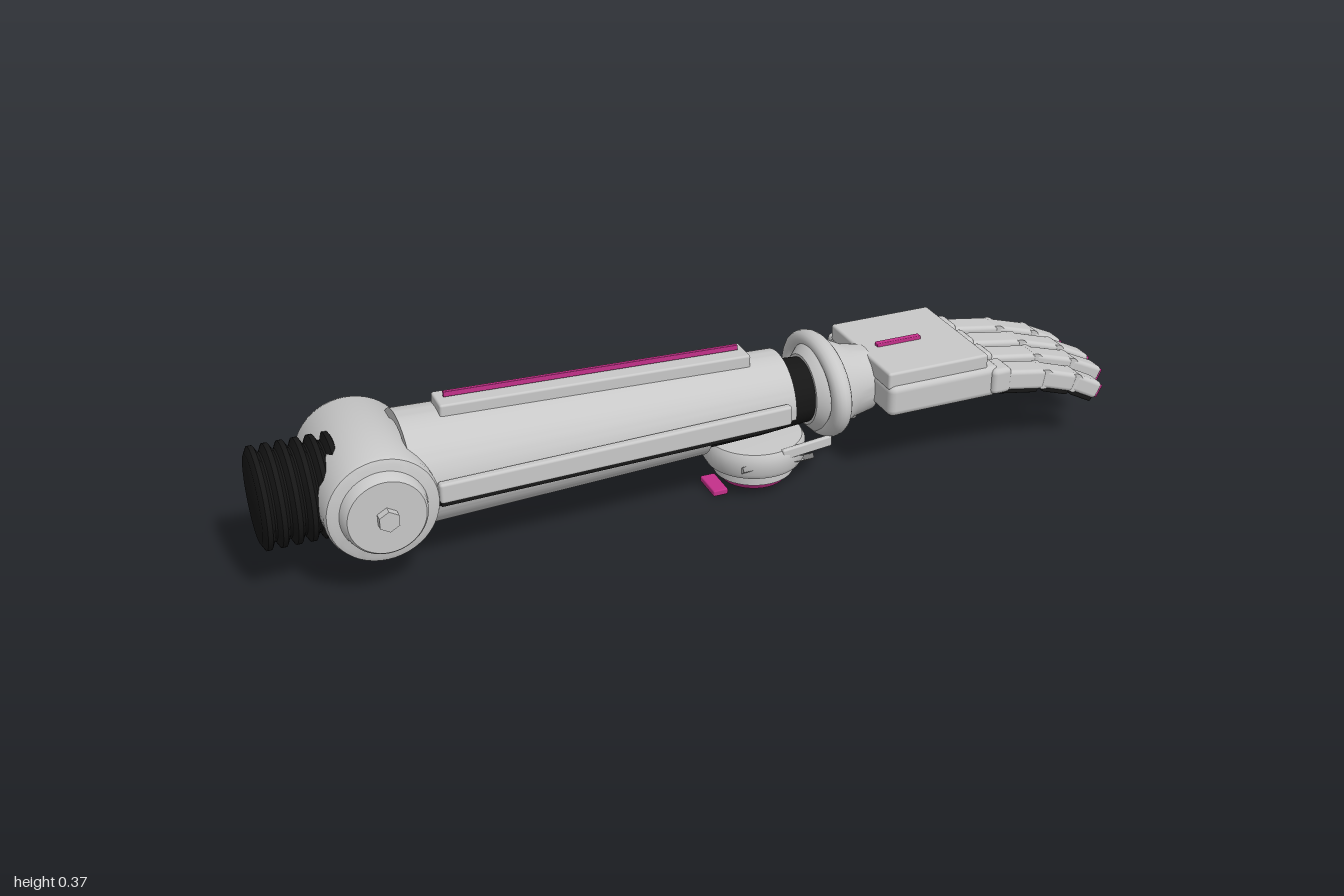
import * as THREE from 'three';
import { toCreasedNormals } from 'three/addons/utils/BufferGeometryUtils.js';
import { RoundedBoxGeometry } from 'three/addons/geometries/RoundedBoxGeometry.js';

const AY = 0.205, AZ = 0.06; // arm axis height and depth

export function createModel() {
  const root = new THREE.Group();
  root.name = 'roboticArm';
  const mat = (name, color, side = THREE.FrontSide) => {
    const m = new THREE.MeshStandardMaterial({ color, side });
    m.name = name;
    return m;
  };
  const shell = mat('light grey shell', 0xc8c8c8, THREE.DoubleSide);
  const black = mat('black rubber', 0x161616, THREE.DoubleSide);
  const pink = mat('magenta accent', 0xc4308a);

  const add = (name, geo, m, x = 0, y = 0, z = 0, parent = root) => {
    const mesh = new THREE.Mesh(geo, m);
    mesh.name = name;
    mesh.position.set(x, y, z);
    parent.add(mesh);
    return mesh;
  };
  const box = (name, m, size, pos, r = 0.008, parent = root) =>
    add(name, new RoundedBoxGeometry(...size, 2, Math.min(r, Math.min(...size) * 0.45)), m, ...pos, parent);
  // profile entries are [radius, position along axis]
  const lathe = (pts, start = 0, len = Math.PI * 2, crease = 0.6) => toCreasedNormals(
    new THREE.LatheGeometry(pts.map(p => new THREE.Vector2(...p)), 48, start, len), crease);
  const alongX = (name, m, pts, start, len) =>
    add(name, lathe(pts, start, len).rotateZ(-Math.PI / 2), m, 0, AY, AZ);
  // tapered curved plate; angles in degrees, 0 = front (+z), positive = downwards
  const curvedPlate = (name, x0, r0, x1, r1, t, a0, a1) => alongX(name, shell,
    [[r0 - t, x0], [r0, x0], [r1, x1], [r1 - t, x1], [r0 - t, x0]],
    THREE.MathUtils.degToRad(a0), THREE.MathUtils.degToRad(a1 - a0));
  // box running between two points
  const link = (name, a, b, w, h, parent) => {
    const A = new THREE.Vector3(...a), d = new THREE.Vector3(...b).sub(A), len = d.length();
    const g = new THREE.Group();
    g.name = name;
    g.position.copy(A).addScaledVector(d, 0.5);
    g.quaternion.setFromUnitVectors(new THREE.Vector3(1, 0, 0), d.normalize());
    box(name + 'Casing', shell, [len, h, w], [0, 0, 0], 0.01, g);
    parent.add(g);
    return { g, len };
  };

  // Ribbed upper sleeve
  const ribs = [[0, -1]];
  for (let i = 0; i < 6; i++) {
    const x = -1 + i * 0.03;
    ribs.push([0.092, x], [0.107, x + 0.008], [0.107, x + 0.018], [0.092, x + 0.026]);
  }
  ribs.push([0, -0.82]);
  alongX('ribbedSleeve', black, ribs);

  // Elbow drum with side caps and hex bolts
  const drum = lathe([[0, -0.149], [0.104, -0.149], [0.114, -0.145], [0.118, -0.135],
    [0.118, 0.135], [0.114, 0.145], [0.104, 0.149], [0, 0.149]]).rotateX(Math.PI / 2);
  add('elbowDrum', drum, shell, -0.77, AY, AZ);
  for (const s of [1, -1]) {
    const cap = new THREE.Group();
    cap.name = 'elbowCap';
    cap.position.set(-0.77, AY, AZ + s * 0.149);
    cap.rotation.x = s * Math.PI / 2;
    root.add(cap);
    add('capDisc', lathe([[0.09, 0], [0.085, 0.02], [0.08, 0.026], [0, 0.026]]), shell, 0, 0, 0, cap);
    add('capBolt', toCreasedNormals(new THREE.CylinderGeometry(0.023, 0.023, 0.02, 6), 0.4), shell, 0, 0.034, 0, cap);
  }

  // Forearm core and plates
  alongX('forearmCore', black, [[0, -0.7], [0.108, -0.69], [0.082, 0.1], [0.072, 0.24], [0, 0.24]]);
  curvedPlate('upperForearmShell', -0.7, 0.13, 0.155, 0.103, 0.022, 172, 368);
  curvedPlate('lowerForearmShell', -0.67, 0.12, -0.04, 0.098, 0.015, 17, 163);
  for (const s of [1, -1]) {
    const rail = box('sideRail', shell, [0.79, 0.045, 0.02], [-0.26, AY + 0.01, AZ + s * 0.127], 0.006);
    rail.rotation.y = s * 0.033;
    const seam = box('sideSeam', black, [0.76, 0.012, 0.012], [-0.27, AY - 0.023, AZ + s * 0.113], 0.002);
    seam.rotation.y = s * 0.033;
  }

  // Raised spine and its accent line
  const spine = box('spinePanel', shell, [0.69, 0.034, 0.07], [-0.27, 0.325, AZ], 0.005);
  const line = box('spineLine', pink, [0.655, 0.012, 0.008], [-0.27, 0.35, AZ], 0.001);
  spine.rotation.z = line.rotation.z = -0.03;

  // Wrist device below the forearm
  add('deviceBody', lathe([[0, 0.056], [0.09, 0.056], [0.108, 0.063], [0.115, 0.075],
    [0.115, 0.11], [0.108, 0.122], [0, 0.125]]), shell, 0.1, 0, AZ);
  add('deviceBase', lathe([[0, 0.03], [0.08, 0.03], [0.09, 0.036], [0.09, 0.056]]), shell, 0.1, 0, AZ);
  add('deviceRing', lathe([[0.062, 0.031], [0.062, 0.021], [0.074, 0.019], [0.081, 0.031]]), pink, 0.1, 0, AZ);
  curvedPlate('deviceGuard', 0.03, 0.157, 0.2, 0.157, 0.012, 48, 132);
  box('deviceTab', pink, [0.035, 0.014, 0.077], [0.005, 0.007, AZ], 0.003);
  for (const s of [1, -1]) {
    const fin = box('deviceFin', shell, [0.13, 0.025, 0.012], [0.185, 0.112, AZ + s * 0.095], 0.004);
    fin.rotation.y = s * 0.15;
  }

  // Wrist cuff, collar ring and lower pin
  alongX('wristCuff', shell, [[0, 0.215], [0.08, 0.215], [0.1, 0.235], [0.107, 0.26],
    [0.1, 0.29], [0.085, 0.32], [0.075, 0.37], [0, 0.37]]);
  const collar = add('wristCollar', new THREE.TorusGeometry(0.1, 0.019, 16, 56), shell, 0.255, 0.211, 0.055);
  collar.rotation.y = Math.PI / 2;
  collar.scale.set(1.25, 0.97, 1.2);
  const pin = add('wristPin', new THREE.CylinderGeometry(0.015, 0.015, 0.1, 20), shell, 0.3, 0.12, AZ);
  pin.rotation.z = Math.PI / 2;

  // Palm, back plate and black grip
  box('palm', shell, [0.28, 0.075, 0.3], [0.5, 0.208, 0.057], 0.016);
  box('backPlate', shell, [0.25, 0.04, 0.28], [0.485, 0.256, 0.057], 0.006);
  box('backMarker', pink, [0.11, 0.012, 0.015], [0.455, 0.278, AZ], 0.002);
  box('palmGrip', black, [0.25, 0.014, 0.25], [0.5, 0.169, 0.057], 0.004);

  // Four fingers: depth, reach and drop of each fingertip
  const fingers = [[0.183, 0.91, 0.127], [0.101, 0.966, 0.118], [0.02, 0.985, 0.11], [-0.062, 0.96, 0.12]];
  fingers.forEach(([z, tipX, tipY]) => {
    const finger = new THREE.Group();
    finger.name = 'finger';
    root.add(finger);
    const at = (t, d) => [0.63 + (tipX - 0.63) * t, 0.212 - (0.212 - tipY) * d, z];
    const joints = [at(0, 0), at(0.45, 0.25), at(0.75, 0.57), at(1, 1)];
    box('knuckle', shell, [0.05, 0.062, 0.066], [0.64, 0.21, z], 0.012, finger);
    for (let i = 0; i < 3; i++) {
      const w = 0.061 - i * 0.004, h = 0.048 - i * 0.003;
      const { g, len } = link('fingerLink', joints[i], joints[i + 1], w, h, finger);
      box('fingerPad', black, [len * 0.82, 0.014, w * 0.86], [0, -h / 2 - 0.002, 0], 0.004, g);
      if (i < 2) {
        const hinge = add('fingerHinge', new THREE.CylinderGeometry(h * 0.5, h * 0.5, w * 0.88, 20), shell, ...joints[i + 1], finger);
        hinge.rotation.x = Math.PI / 2;
      } else {
        box('fingertip', pink, [0.012, h * 0.78, w * 0.78], [len / 2, 0, 0], 0.003, g);
      }
    }
  });

  // Thumb
  const thumb = new THREE.Group();
  thumb.name = 'thumb';
  root.add(thumb);
  box('thumbMount', shell, [0.11, 0.07, 0.05], [0.425, 0.2, -0.1], 0.012, thumb);
  link('thumbBase', [0.39, 0.195, -0.1], [0.495, 0.145, -0.17], 0.07, 0.062, thumb);
  link('thumbTip', [0.485, 0.15, -0.165], [0.59, 0.105, -0.218], 0.073, 0.06, thumb);

  return root;
}
